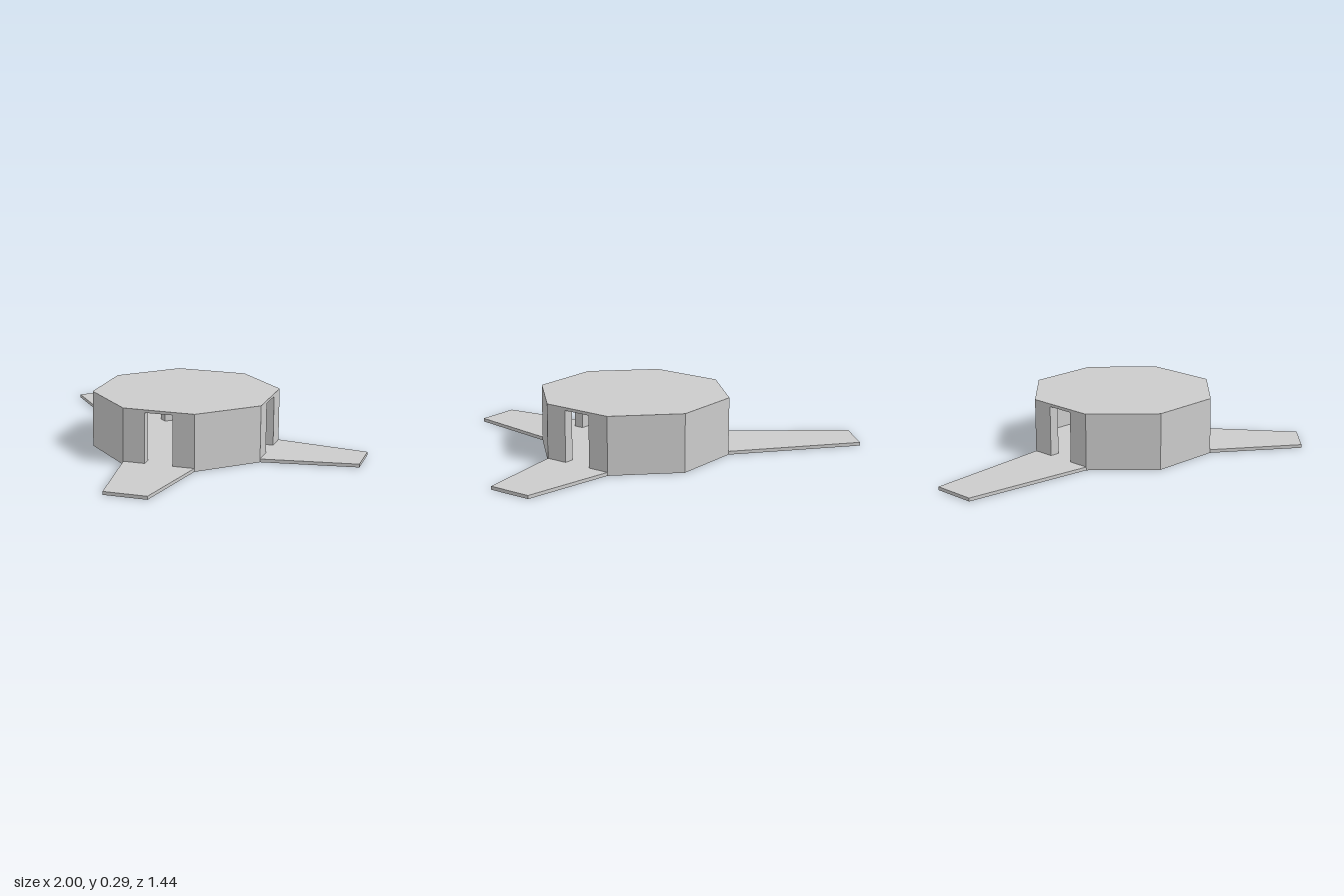
import * as THREE from 'three';

const CX = 0.094, CZ = -0.179, R = 0.4845;
const FLOOR = 0.017, CEILING = 0.277, TOP = 0.292;
const WALL = 0.052, DOOR_HALF = 0.073;

const material = new THREE.MeshStandardMaterial({ color: 0xcccccc, flatShading: true });

// Upright prism over a plan outline of [x, z] points
function slab(name, points, y0, y1) {
  const shape = new THREE.Shape(points.map(([x, z]) => new THREE.Vector2(x, -z)));
  const geometry = new THREE.ExtrudeGeometry(shape, { depth: y1 - y0, bevelEnabled: false });
  geometry.rotateX(-Math.PI / 2).translate(0, y0, 0);
  const mesh = new THREE.Mesh(geometry, material);
  mesh.name = name;
  return mesh;
}

// Corner k of the octagon
function corner(k, radius = R) {
  const a = k * Math.PI / 4;
  return [CX + radius * Math.cos(a), CZ + radius * Math.sin(a)];
}

export function createModel() {
  const group = new THREE.Group();
  group.name = 'octagonalPavilion';
  const octagon = Array.from({ length: 8 }, (_, k) => corner(k));
  const innerR = R - WALL / Math.cos(Math.PI / 8);

  group.add(slab('floor', octagon, 0, FLOOR));
  group.add(slab('roof', octagon, CEILING, TOP));

  // Tapering ramps: octagon side and the two outer corners
  const ramps = [
    { name: 'frontRamp', side: 1, outer: [[0.347, 0.722], [0.552, 0.637]] },
    { name: 'rightRamp', side: 4, outer: [[-0.913, -0.722], [-1, -0.511]] },
    { name: 'leftRamp', side: 7, outer: [[1, -0.436], [0.911, -0.641]] },
  ];
  for (const { name, side, outer } of ramps) {
    group.add(slab(name, [corner(side), corner(side + 1), ...outer], 0, FLOOR));
  }

  // Mitred walls, split around a doorway wherever a ramp arrives
  const doorSides = ramps.map((r) => r.side);
  for (let k = 0; k < 8; k++) {
    const a = corner(k), b = corner(k + 1);
    const ai = corner(k, innerR), bi = corner(k + 1, innerR);
    if (!doorSides.includes(k)) {
      group.add(slab('wall', [a, b, bi, ai], FLOOR, CEILING));
      continue;
    }
    const angle = (k + 0.5) * Math.PI / 4;
    const nx = Math.cos(angle), nz = Math.sin(angle);
    const apothem = R * Math.cos(Math.PI / 8);
    // Point of the door jamb: s along the wall, d inward
    const jamb = (s, d) => [
      CX + nx * (apothem - d) - nz * s,
      CZ + nz * (apothem - d) + nx * s,
    ];
    group.add(slab('doorWall', [a, jamb(-DOOR_HALF, 0), jamb(-DOOR_HALF, WALL), ai], FLOOR, CEILING));
    group.add(slab('doorWall', [jamb(DOOR_HALF, 0), b, bi, jamb(DOOR_HALF, WALL)], FLOOR, CEILING));
  }
  return group;
}
